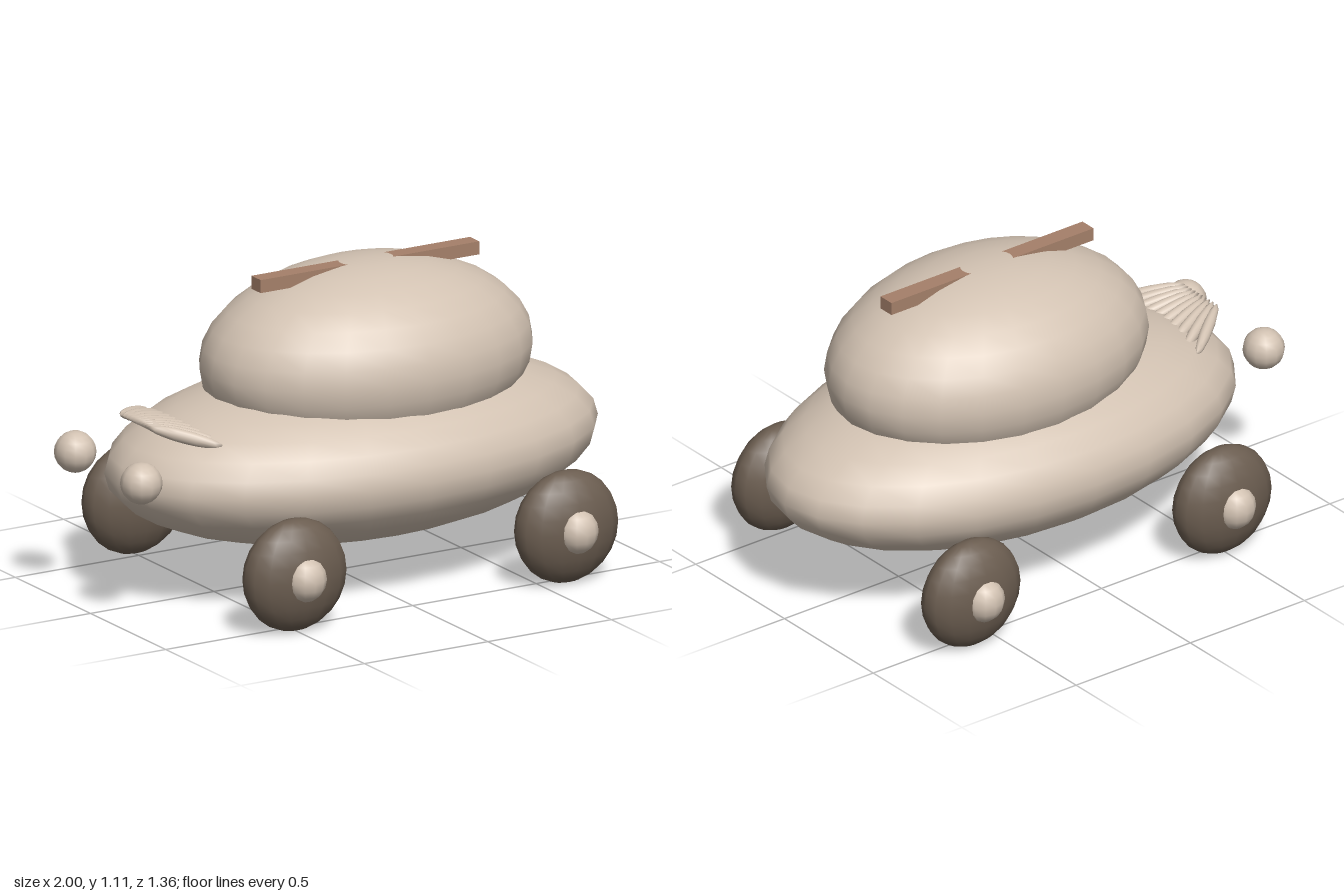
import * as THREE from 'three';

const paint = new THREE.MeshStandardMaterial({ color: 0xd2c2b2 });
paint.name = 'beige paint';
const rubber = new THREE.MeshStandardMaterial({ color: 0x6b5d50 });
rubber.name = 'brown rubber';
const wood = new THREE.MeshStandardMaterial({ color: 0xa5806a });
wood.name = 'wood';

// Smooth ellipsoid with baked radii
function ellipsoid(name, material, center, radii, sides = 16, rings = 12) {
  const geometry = new THREE.SphereGeometry(1, sides, rings).scale(...radii);
  const mesh = new THREE.Mesh(geometry, material);
  mesh.name = name;
  mesh.position.set(...center);
  return mesh;
}

export function createModel() {
  const car = new THREE.Group();
  car.name = 'roundedCar';

  // Lower body and cabin
  car.add(ellipsoid('body', paint, [0.055, 0.455, 0], [0.945, 0.305, 0.55], 24, 16));
  car.add(ellipsoid('cabin', paint, [0.115, 0.78, 0], [0.625, 0.34, 0.44], 24, 16));

  // Roof bar, partly sunk into the cabin
  const bar = new THREE.Mesh(new THREE.BoxGeometry(0.885, 0.047, 0.062), wood);
  bar.name = 'roofBar';
  bar.position.set(0.113, 1.091, 0);
  car.add(bar);

  // Wheels, hubcaps and headlights on both sides
  for (const side of [1, -1]) {
    for (const x of [-0.5, 0.6]) {
      const wheel = new THREE.Group();
      wheel.name = 'wheel';
      wheel.add(ellipsoid('tyre', rubber, [x, 0.21, side * 0.535], [0.202, 0.202, 0.105]));
      wheel.add(ellipsoid('hubcap', paint, [x, 0.21, side * 0.61], [0.076, 0.08, 0.068], 12, 8));
      car.add(wheel);
    }
    car.add(ellipsoid('headlight', paint, [-0.928, 0.525, side * 0.22], [0.074, 0.074, 0.074], 12, 10));
  }

  // Grille: a fan of slim slats that spreads and dips toward the cabin
  const grille = new THREE.Group();
  grille.name = 'grille';
  const slats = 10;
  for (let i = 0; i < slats; i++) {
    const t = (2 * i) / (slats - 1) - 1;
    const angle = t * 0.64;
    const direction = new THREE.Vector3(Math.cos(angle), -0.24, Math.sin(angle)).normalize();
    const slat = ellipsoid('grilleSlat', paint, [-0.825, 0.677, t * 0.09], [0.137, 0.024, 0.021], 10, 8);
    slat.position.addScaledVector(direction, 0.137);
    slat.rotation.set(0, -angle, Math.asin(direction.y));
    grille.add(slat);
  }
  car.add(grille);

  return car;
}
